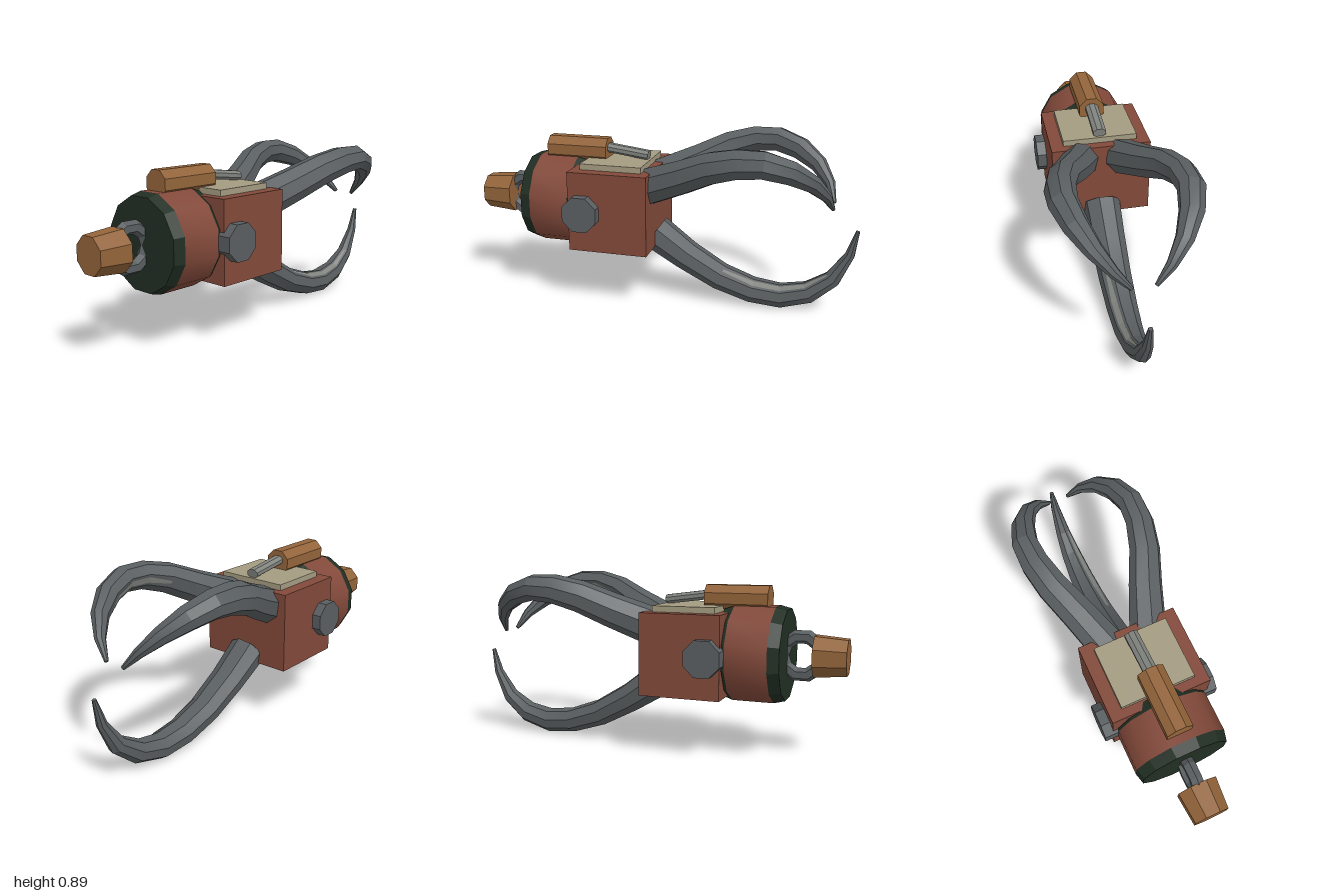
import * as THREE from 'three';
import { toCreasedNormals } from 'three/addons/utils/BufferGeometryUtils.js';

const AXIS_Y = 0.522; // height of the body's long axis

const paint = (name, color) => {
  const m = new THREE.MeshStandardMaterial({ color });
  m.name = name;
  return m;
};

// Prism or frustum along z, with a flat side on top
function prism(rFront, rBack, depth, sides, open = false) {
  return new THREE.CylinderGeometry(rFront, rBack, depth, sides, 1, open)
    .rotateY(Math.PI / sides).rotateX(Math.PI / 2);
}

function flat(geo) {
  const g = geo.index ? geo.toNonIndexed() : geo;
  g.computeVertexNormals();
  return g;
}

function fromQuads(verts, index) {
  const g = new THREE.BufferGeometry();
  g.setAttribute('position', new THREE.Float32BufferAttribute(verts, 3));
  g.setIndex(index);
  return g;
}

// Claw stations: [radial distance, z, half thickness, half width]
const lowerPath = [
  [0.160, 0.05, 0.092, 0.100], [0.275, -0.12, 0.078, 0.092], [0.375, -0.30, 0.070, 0.085],
  [0.432, -0.47, 0.066, 0.078], [0.447, -0.62, 0.064, 0.070], [0.412, -0.76, 0.058, 0.058],
  [0.325, -0.875, 0.045, 0.042], [0.190, -0.95, 0.026, 0.026], [0.062, -0.98, 0.010, 0.011],
];
const upperPath = [
  [0.160, 0.06, 0.092, 0.100], [0.275, -0.14, 0.080, 0.092], [0.370, -0.29, 0.072, 0.085],
  [0.418, -0.42, 0.066, 0.078], [0.424, -0.54, 0.064, 0.070], [0.375, -0.66, 0.058, 0.060],
  [0.290, -0.76, 0.044, 0.043], [0.185, -0.825, 0.027, 0.026], [0.080, -0.855, 0.010, 0.011],
];

const SIDES = 8;
const TWIST = 0.21;

// Point on the claw's cross-section at station i, corner k
function clawPoint(path, i, k, lift = 0) {
  const a = path[Math.max(i - 1, 0)], b = path[Math.min(i + 1, path.length - 1)];
  const t = new THREE.Vector2(b[0] - a[0], b[1] - a[1]).normalize();
  const [r, z, h, w] = path[i];
  const ang = TWIST + (k / SIDES) * Math.PI * 2;
  const up = Math.cos(ang) * (h + lift);
  return new THREE.Vector3(Math.sin(ang) * (w + lift), r - t.y * up, z + t.x * up);
}

function clawGeometry(path) {
  const verts = [], index = [], last = path.length - 1;
  path.forEach((_, i) => {
    for (let k = 0; k < SIDES; k++) verts.push(...clawPoint(path, i, k).toArray());
  });
  for (let i = 0; i < last; i++) {
    for (let k = 0; k < SIDES; k++) {
      const n = (k + 1) % SIDES, a = i * SIDES, b = a + SIDES;
      index.push(a + k, a + n, b + n, a + k, b + n, b + k);
    }
  }
  for (let k = 1; k < SIDES - 1; k++) { // end caps
    index.push(0, k + 1, k);
    index.push(last * SIDES, last * SIDES + k, last * SIDES + k + 1);
  }
  return toCreasedNormals(fromQuads(verts, index), 0.35);
}

// Thin strip lying on the inner facet of a claw
function stripGeometry(path, from, to) {
  const verts = [], index = [];
  for (let i = from; i <= to; i++) {
    const p = clawPoint(path, i, 4, 0.004), q = clawPoint(path, i, 5, 0.004);
    const ends = i === from || i === to ? [0.38, 0.62] : [0.25, 0.75];
    for (const f of ends) verts.push(...p.clone().lerp(q, f).toArray());
  }
  for (let i = 0; i < to - from; i++) {
    const a = i * 2;
    index.push(a, a + 1, a + 3, a, a + 3, a + 2);
  }
  return flat(fromQuads(verts, index));
}

export function createModel() {
  const brick = paint('brick red', 0x82493a);
  const green = paint('dark green', 0x212e23);
  const wood = paint('warm brown', 0x93643a);
  const cream = paint('pale tan', 0xa39a80);
  const steel = paint('dark steel', 0x595e60);
  const pale = paint('pale steel', 0x7f827d);

  const model = new THREE.Group();
  const add = (name, geo, mat, x = 0, y = AXIS_Y, z = 0, parent = model) => {
    const mesh = new THREE.Mesh(geo, mat);
    mesh.name = name;
    mesh.position.set(x, y, z);
    parent.add(mesh);
    return mesh;
  };

  // Body block and round drum with dark chamfered ends
  add('bodyBlock', new THREE.BoxGeometry(0.51, 0.41, 0.41), brick, 0, 0.52, 0.235);
  add('drum', toCreasedNormals(prism(0.242, 0.242, 0.205, 12, true), 0.7), brick, 0, AXIS_Y, 0.5575);
  add('drumFrontCap', flat(prism(0.228, 0.242, 0.055, 12)), green, 0, AXIS_Y, 0.6875);
  add('drumBackCap', flat(prism(0.242, 0.225, 0.05, 12)), green, 0, AXIS_Y, 0.43);

  // Pull ring and front grip
  add('pullRing', flat(new THREE.TorusGeometry(0.096, 0.034, 6, 10).rotateY(Math.PI / 2)), steel, 0, 0.52, 0.78);
  add('frontGrip', flat(prism(0.093, 0.107, 0.158, 8)), wood, 0, 0.523, 0.921);

  // Top plate, handle and slanted rod
  add('topPlate', new THREE.BoxGeometry(0.38, 0.04, 0.32), cream, 0, 0.735, 0.235);
  add('topHandle', flat(prism(0.07, 0.07, 0.32, 8)), wood, 0, 0.79, 0.46);
  const rod = add('slantedRod', flat(prism(0.036, 0.036, 0.26, 8)), pale, 0, 0.792, 0.215);
  rod.rotation.x = -0.13;
  rod.scale.y = 0.7;

  // Side knobs
  for (const s of [-1, 1]) {
    add(s > 0 ? 'leftKnob' : 'rightKnob',
      flat(prism(0.096, 0.096, 0.08, 8).rotateY(Math.PI / 2)), steel, s * 0.263, 0.52, 0.365);
  }

  // Three claws spread around the axis
  const claws = [
    ['lowerClaw', lowerPath, Math.PI],
    ['upperLeftClaw', upperPath, -0.74],
    ['upperRightClaw', upperPath, 0.74],
  ];
  for (const [name, path, angle] of claws) {
    const claw = new THREE.Group();
    claw.name = name;
    claw.position.y = AXIS_Y;
    claw.rotation.z = angle;
    add(name + 'Blade', clawGeometry(path), steel, 0, 0, 0, claw);
    add(name + 'Strip', stripGeometry(path, 2, 6), pale, 0, 0, 0, claw);
    model.add(claw);
  }
  return model;
}
